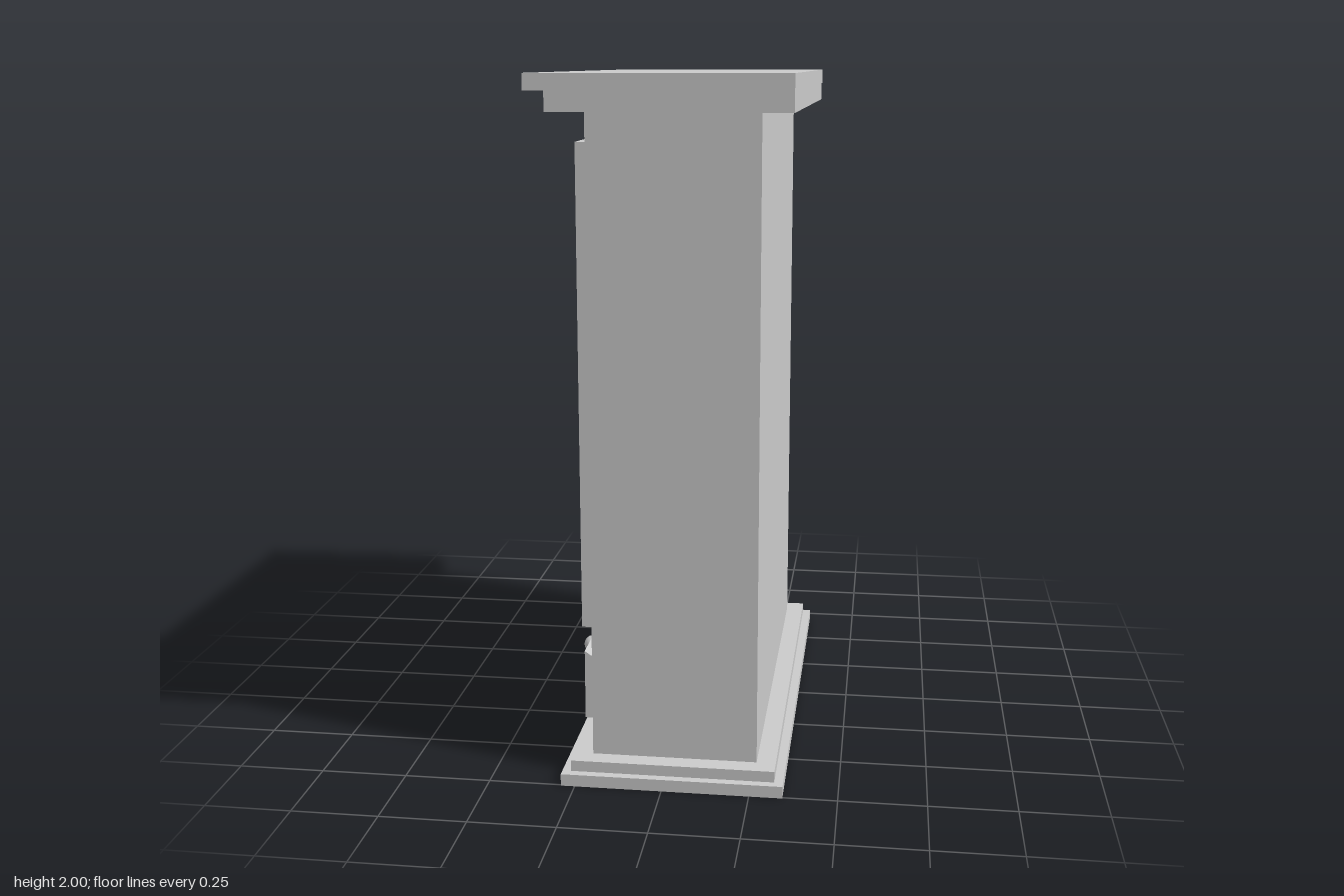
import * as THREE from 'three';

const material = new THREE.MeshStandardMaterial({ color: 0xcccccc, flatShading: true });
const smooth = new THREE.MeshStandardMaterial({ color: 0xcccccc });
const FACE = -0.21; // cabinet face that carries the doors

function add(parent, name, geometry, mat = material) {
  const mesh = new THREE.Mesh(geometry, mat);
  mesh.name = name;
  parent.add(mesh);
  return mesh;
}

// box given by its limits
function block(parent, name, [x0, x1], [y0, y1], [z0, z1]) {
  const mesh = add(parent, name, new THREE.BoxGeometry(x1 - x0, y1 - y0, z1 - z0));
  mesh.position.set((x0 + x1) / 2, (y0 + y1) / 2, (z0 + z1) / 2);
}

// horizontal slab with an outline of [x, z] corners
function slab(parent, name, corners, y0, y1) {
  const shape = new THREE.Shape(corners.map(([x, z]) => new THREE.Vector2(x, -z)));
  const geometry = new THREE.ExtrudeGeometry(shape, { depth: y1 - y0, bevelEnabled: false });
  geometry.rotateX(-Math.PI / 2).translate(0, y0, 0);
  add(parent, name, geometry);
}

function rectangle(Type, z0, z1, y0, y1) {
  return new Type([[z0, y0], [z1, y0], [z1, y1], [z0, y1]].map(([z, y]) => new THREE.Vector2(z, y)));
}

// round knob on a short stem
function knob(parent, y, z) {
  const group = new THREE.Group();
  group.name = 'knob';
  group.position.set(-0.285, y, z);
  add(group, 'knobBall', new THREE.SphereGeometry(0.027, 16, 12), smooth);
  const stem = add(group, 'knobStem', new THREE.CylinderGeometry(0.011, 0.011, 0.05, 12), smooth);
  stem.rotation.z = Math.PI / 2;
  stem.position.x = 0.025;
  parent.add(group);
}

// framed door with a recessed panel
function door(parent, name, z0, z1, knobZ) {
  const group = new THREE.Group();
  group.name = name;
  const [y0, y1, rim] = [0.42, 1.815, 0.05];
  const frame = rectangle(THREE.Shape, z0, z1, y0, y1);
  frame.holes.push(rectangle(THREE.Path, z0 + rim, z1 - rim, y0 + rim, y1 - rim));
  const geometry = new THREE.ExtrudeGeometry(frame, { depth: 0.045, bevelEnabled: false });
  geometry.rotateY(-Math.PI / 2).translate(FACE, 0, 0);
  add(group, 'doorFrame', geometry);
  block(group, 'doorPanel', [FACE - 0.028, FACE], [y0 + rim, y1 - rim], [z0 + rim, z1 - rim]);
  knob(group, 1.095, knobZ);
  parent.add(group);
}

export function createModel() {
  const model = new THREE.Group();
  model.name = 'wardrobe';

  // stepped base and body
  block(model, 'baseLower', [-0.29, 0.345], [0, 0.035], [-0.69, 0.755]);
  block(model, 'baseUpper', [-0.265, 0.32], [0.035, 0.067], [-0.67, 0.73]);
  block(model, 'body', [FACE, 0.265], [0.067, 1.9], [-0.615, 0.675]);

  // slightly skewed cornice, stepped on two sides
  slab(model, 'corniceLower', [[-0.3, 0.76], [0.355, 0.76], [0.355, -0.7], [-0.285, -0.69]], 1.9, 1.955);
  slab(model, 'corniceTop', [[-0.357, 0.76], [0.355, 0.76], [0.355, -0.76], [-0.34, -0.745]], 1.955, 2);

  // pair of doors
  door(model, 'doorRear', -0.525, -0.015, -0.06);
  door(model, 'doorFront', 0.087, 0.587, 0.095);

  // drawer front with a shallow groove along its top
  const drawer = new THREE.Group();
  drawer.name = 'drawer';
  const profile = new THREE.Shape(
    [[-0.25, 0.135], [FACE, 0.135], [FACE, 0.342], [-0.23, 0.328], [-0.25, 0.342]].map(([x, y]) => new THREE.Vector2(x, y))
  );
  const front = new THREE.ExtrudeGeometry(profile, { depth: 1.1, bevelEnabled: false });
  add(drawer, 'drawerFront', front.translate(0, 0, -0.52));
  for (const z of [-0.25, 0.275]) knob(drawer, 0.245, z);
  model.add(drawer);

  return model;
}
